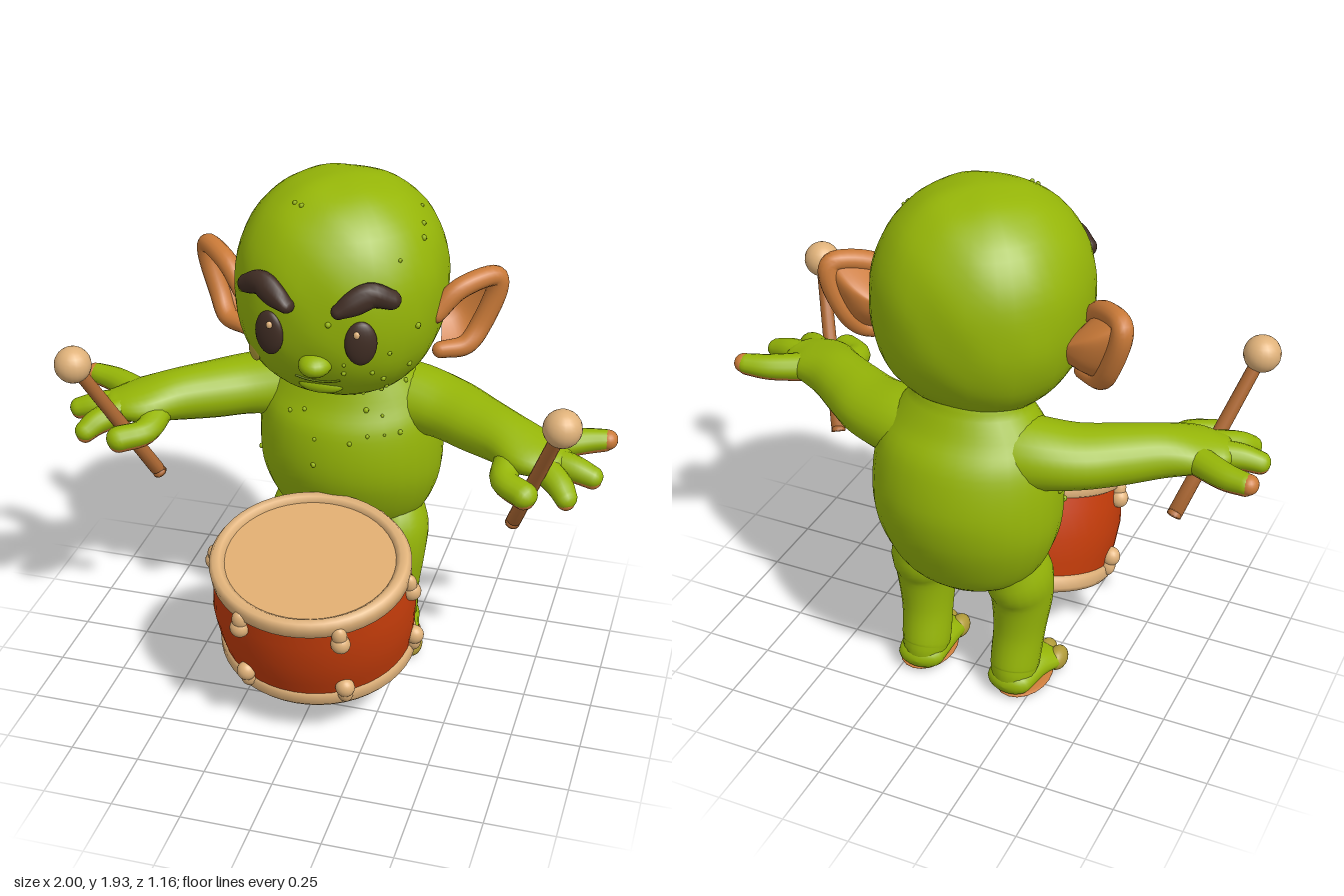
import * as THREE from 'three';
import { mergeGeometries, mergeVertices } from 'three/addons/utils/BufferGeometryUtils.js';

const mat = (name, color, side = THREE.FrontSide) => {
  const m = new THREE.MeshStandardMaterial({ color, side });
  m.name = name;
  return m;
};
const X = new THREE.Vector3(1, 0, 0), Y = new THREE.Vector3(0, 1, 0), Z = new THREE.Vector3(0, 0, 1);
const HEAD = { y: 1.53, z: -0.155, rx: 0.37, ry: 0.395, rz: 0.375, n: 2.25 };

// Front surface of the head at a given x and y
function faceZ(x, y) {
  const { n } = HEAD;
  const r = 1 - Math.abs(x / HEAD.rx) ** n - Math.abs((y - HEAD.y) / HEAD.ry) ** n;
  return HEAD.z + HEAD.rz * Math.max(r, 0) ** (1 / n);
}

// Round-ended limb through rows [x, y, z, sideRadius, refRadius]
function loft(rows, ref, rings = 18, sides = 20) {
  const path = new THREE.CatmullRomCurve3(rows.map(r => new THREE.Vector3(r[0], r[1], r[2])), false, 'catmullrom');
  const radii = new THREE.CatmullRomCurve3(rows.map(r => new THREE.Vector3(r[3], r[4], 0)), false, 'catmullrom');
  const steps = [];
  const cap = 5;
  for (let k = 0; k < cap; k++) steps.push([0, -1, (1 - k / cap) * Math.PI / 2]);
  for (let i = 0; i <= rings; i++) steps.push([i / rings, 0, 0]);
  for (let k = 1; k <= cap; k++) steps.push([1, 1, k / cap * Math.PI / 2]);
  const pos = [], index = [];
  steps.forEach(([t, dir, a], i) => {
    const c = path.getPoint(t), T = path.getTangent(t), r = radii.getPoint(t);
    const S = T.clone().cross(ref).normalize(), U = S.clone().cross(T);
    c.addScaledVector(T, dir * Math.sin(a) * Math.min(r.x, r.y));
    const f = Math.max(Math.cos(a), 0.01);
    for (let j = 0; j < sides; j++) {
      const q = j / sides * Math.PI * 2;
      const p = c.clone().addScaledVector(S, Math.cos(q) * r.x * f).addScaledVector(U, Math.sin(q) * r.y * f);
      pos.push(p.x, p.y, p.z);
      if (i < steps.length - 1) {
        const A = i * sides + j, B = i * sides + (j + 1) % sides;
        index.push(A, A + sides, B, B, A + sides, B + sides);
      }
    }
  });
  const g = new THREE.BufferGeometry();
  g.setAttribute('position', new THREE.Float32BufferAttribute(pos, 3));
  g.setIndex(index);
  g.computeVertexNormals();
  return g;
}

function headGeometry() {
  let g = new THREE.SphereGeometry(1, 44, 32);
  g.deleteAttribute('uv');
  g.deleteAttribute('normal');
  g = mergeVertices(g, 1e-4);
  const p = g.attributes.position, v = new THREE.Vector3();
  for (let i = 0; i < p.count; i++) {
    v.fromBufferAttribute(p, i);
    const n = HEAD.n;
    const k = (Math.abs(v.x) ** n + Math.abs(v.y) ** n + Math.abs(v.z) ** n) ** (-1 / n);
    const lump = 1 + 0.007 * Math.sin(v.x * 11 + 1) * Math.sin(v.y * 9) * Math.cos(v.z * 10);
    v.multiplyScalar(k * lump);
    p.setXYZ(i, v.x * HEAD.rx, HEAD.y + v.y * HEAD.ry, HEAD.z + v.z * HEAD.rz);
  }
  g.computeVertexNormals();
  return g;
}

// Small warts scattered over the vertices of a surface
function warts(g, count, seed, keep) {
  const p = g.attributes.position, out = [];
  const rand = () => (seed = (seed * 16807) % 2147483647) / 2147483647;
  for (let tries = 0; out.length < count && tries < 2000; tries++) {
    const v = new THREE.Vector3().fromBufferAttribute(p, Math.floor(rand() * p.count));
    if (!keep(v)) continue;
    out.push(new THREE.SphereGeometry(0.005 + rand() * 0.006, 7, 5).translate(v.x, v.y, v.z));
  }
  return mergeGeometries(out);
}

export function createModel() {
  const model = new THREE.Group();
  const skin = mat('green skin', 0x96b608), orange = mat('orange skin', 0xca7a38, THREE.DoubleSide);
  const toeMat = mat('toe yellow', 0xb09a38), dark = mat('dark brown', 0x402d24);
  const wood = mat('stick wood', 0xb06a34), cream = mat('cream', 0xe0b27a);
  const red = mat('drum red', 0xc43c0a), hide = mat('drum hide', 0xdeac70), lip = mat('mouth green', 0x6c8608);
  const add = (name, geo, m, parent = model) => {
    const o = new THREE.Mesh(geo, m);
    o.name = name;
    parent.add(o);
    return o;
  };
  const ball = (name, m, p, s, parent = model) => {
    const o = add(name, new THREE.SphereGeometry(1, 20, 14), m, parent);
    o.position.set(...p);
    o.scale.set(...s);
    return o;
  };

  // Head and torso
  const headGeo = headGeometry();
  add('head', headGeo, skin);
  add('headWarts', warts(headGeo, 36, 77, v => v.z > -0.25 && v.y < 1.88), skin);
  const torsoGeo = loft([
    [0, 0.475, -0.29, 0.08, 0.05], [0, 0.51, -0.3, 0.21, 0.14], [0, 0.59, -0.305, 0.285, 0.205],
    [0, 0.72, -0.3, 0.335, 0.265], [0, 0.85, -0.29, 0.345, 0.288], [0, 1.0, -0.28, 0.33, 0.265],
    [0, 1.1, -0.27, 0.285, 0.21], [0, 1.2, -0.26, 0.21, 0.17]], Z, 32, 32);
  add('torso', torsoGeo, skin);
  add('torsoWarts', warts(torsoGeo, 26, 991, v => v.z > -0.3 && v.y > 0.6), skin);

  // Nose, lips, mouth line and cheek blotch
  ball('nose', skin, [0, 1.365, 0.19], [0.058, 0.042, 0.068]);
  ball('lowerLip', skin, [0, 1.255, faceZ(0, 1.255) - 0.012], [0.08, 0.03, 0.024]);
  const mouth = [-0.08, -0.04, 0, 0.04, 0.08].map(x => {
    const y = 1.285 + x * x * 2;
    return new THREE.Vector3(x, y, faceZ(x, y) + 0.001);
  });
  add('mouth', new THREE.TubeGeometry(new THREE.CatmullRomCurve3(mouth), 16, 0.004, 6), lip);
  ball('cheekBlotch', toeMat, [-0.25, 1.335, faceZ(0.25, 1.335) - 0.004], [0.038, 0.036, 0.009]).rotation.y = -0.75;

  for (const s of [1, -1]) {
    const side = s > 0 ? 'left' : 'right';
    const limb = (name, m, rows, ref, rings, sides) =>
      add(side + name, loft(rows.map(([x, ...r]) => [x * s, ...r]), ref, rings, sides), m);

    // Eye, glint and brow
    const eye = ball(side + 'Eye', dark, [0.16 * s, 1.465, faceZ(0.16, 1.465) + 0.004], [0.055, 0.08, 0.025]);
    eye.rotation.y = 0.3 * s;
    ball(side + 'EyeGlint', cream, [0.152 * s, 1.505, faceZ(0.152, 1.505) + 0.024], [0.011, 0.013, 0.008]);
    limb('Brow', dark, [[0.09, 1.585, 0.026], [0.135, 1.612, 0.043], [0.19, 1.638, 0.046], [0.25, 1.615, 0.034]]
      .map(([x, y, r]) => [x, y, faceZ(x, y) + 0.012, r, 0.034]), Z, 14, 14);

    // Ear: thick rim with a dished shell behind it
    const rim = [[0.35, 1.47, -0.095], [0.42, 1.55, -0.145], [0.52, 1.575, -0.235], [0.53, 1.515, -0.255],
      [0.485, 1.39, -0.235], [0.44, 1.32, -0.19], [0.36, 1.31, -0.145]];
    const rimR = [0.034, 0.037, 0.036, 0.038, 0.038, 0.036, 0.03];
    limb('EarRim', orange, rim.map((p, i) => [...p, rimR[i], rimR[i]]), new THREE.Vector3(0.5 * s, 0, 0.85), 36, 14);
    const curve = new THREE.CatmullRomCurve3(rim.map(p => new THREE.Vector3(p[0] * s, p[1], p[2])), false, 'catmullrom');
    const root = new THREE.Vector3(0.32 * s, 1.45, -0.26);
    const pos = [], index = [], M = 24, K = 6;
    for (let i = 0; i <= M; i++) for (let k = 0; k <= K; k++) {
      const p = curve.getPoint(i / M).lerp(root, k / K);
      p.z -= 0.03 * Math.sin(Math.PI * k / K);
      pos.push(p.x, p.y, p.z);
      if (i < M && k < K) {
        const a = i * (K + 1) + k, b = a + K + 1;
        index.push(a, b, a + 1, a + 1, b, b + 1);
      }
    }
    const shell = new THREE.BufferGeometry();
    shell.setAttribute('position', new THREE.Float32BufferAttribute(pos, 3));
    shell.setIndex(index);
    shell.computeVertexNormals();
    add(side + 'EarShell', shell, orange);

    // Arm and hand
    limb('Arm', skin, [[0.12, 1.03, -0.3, 0.14, 0.14], [0.25, 1.035, -0.285, 0.14, 0.125], [0.38, 1.03, -0.24, 0.135, 0.108],
      [0.5, 1.025, -0.165, 0.12, 0.102], [0.62, 1.025, -0.085, 0.11, 0.09], [0.73, 1.02, -0.015, 0.125, 0.065],
      [0.81, 1.015, 0.02, 0.09, 0.045]], Y, 28, 24);
    limb('Palm', orange, [[0.71, 0.985, -0.01, 0.06, 0.035], [0.82, 0.985, 0.02, 0.06, 0.03]], Y, 6, 14);
    const fingers = [
      [[0.76, 1.02, -0.08], [0.87, 1.025, -0.14], [0.955, 1.03, -0.165]],
      [[0.8, 1.01, 0], [0.88, 1.005, 0.025], [0.945, 0.99, 0.04]],
      [[0.77, 1.01, 0.05], [0.84, 0.99, 0.12], [0.875, 0.965, 0.165]],
      [[0.65, 1.0, 0.01], [0.655, 0.98, 0.13], [0.735, 0.968, 0.19]]];
    fingers.forEach((f, i) => {
      const r = [0.055, 0.049, i === 3 ? 0.05 : 0.04];
      limb('Finger' + (i + 1), skin, f.map((p, k) => [...p, r[k], r[k] * 0.9]), Y, 10, 14);
      limb('FingerPad' + (i + 1), orange, f.map((p, k) => [p[0], p[1] - 0.013, p[2], r[k] * 0.82, r[k] * 0.8]), Y, 10, 12);
    });
    const [tx, ty, tz] = fingers[0][2];
    ball(side + 'FingerTip', orange, [(tx + 0.012) * s, ty, tz], [0.034, 0.035, 0.038]);

    // Drumstick
    const top = new THREE.Vector3(0.86 * s, 1.28, 0.26), end = new THREE.Vector3(0.667 * s, 0.725, -0.02);
    add(side + 'Stick', loft([[...end.toArray(), 0.027, 0.027], [...top.toArray(), 0.024, 0.024]], X, 4, 14), wood);
    ball(side + 'StickBall', cream, top.toArray(), [0.066, 0.066, 0.066]);

    // Leg, foot and toes
    limb('Leg', skin, [[0.17, 0.6, -0.3, 0.1, 0.11], [0.185, 0.5, -0.27, 0.12, 0.135], [0.19, 0.4, -0.25, 0.112, 0.12],
      [0.185, 0.25, -0.26, 0.095, 0.1], [0.18, 0.12, -0.285, 0.09, 0.097], [0.18, 0.085, -0.295, 0.085, 0.092]], Z, 22, 22);
    limb('Foot', skin, [[0.18, 0.058, -0.335, 0.088, 0.054], [0.19, 0.065, -0.23, 0.1, 0.062], [0.205, 0.05, -0.145, 0.115, 0.046]], Y, 12, 20);
    ball(side + 'Sole', orange, [0.195 * s, 0.013, -0.235], [0.1, 0.013, 0.145]);
    [0.125, 0.18, 0.235, 0.288].forEach((x, i) => {
      const z = [-0.12, -0.112, -0.118, -0.14][i];
      ball(side + 'Toe' + (i + 1), toeMat, [x * s, 0.047, z], [0.037, 0.043, 0.055]);
    });
  }

  // Drum, tipped forwards
  const drum = new THREE.Group();
  drum.name = 'drum';
  drum.position.set(0, 0.435, 0.213);
  drum.rotation.x = 0.27;
  drum.scale.z = 0.905;
  model.add(drum);
  const v2 = list => list.map(p => new THREE.Vector2(...p));
  add('drumShell', new THREE.LatheGeometry(v2([[0.345, -0.19], [0.36, -0.1], [0.37, 0], [0.36, 0.1], [0.345, 0.19]]), 48), red, drum);
  const rimProfile = v2([[0.3, 0.15], [0.345, 0.15], [0.362, 0.162], [0.364, 0.2], [0.35, 0.22], [0.325, 0.22], [0.308, 0.205], [0.3, 0.15]]);
  for (const s of [1, -1]) {
    const end = new THREE.Group();
    end.name = s > 0 ? 'drumTop' : 'drumBottom';
    if (s < 0) end.rotation.x = Math.PI;
    drum.add(end);
    add('rim', new THREE.LatheGeometry(rimProfile, 48), cream, end);
    add('drumHead', new THREE.CylinderGeometry(0.315, 0.315, 0.02, 48), hide, end).position.y = s > 0 ? 0.193 : 0.185;
    for (let i = 0; i < 6; i++) {
      const a = i * Math.PI / 3, c = Math.cos(a), d = Math.sin(a);
      ball('lugKnob', cream, [c * 0.366, 0.118, d * 0.366], [0.035, 0.037, 0.036], end);
      ball('lugNeck', cream, [c * 0.36, 0.155, d * 0.36], [0.028, 0.04, 0.028], end);
    }
  }
  return model;
}
